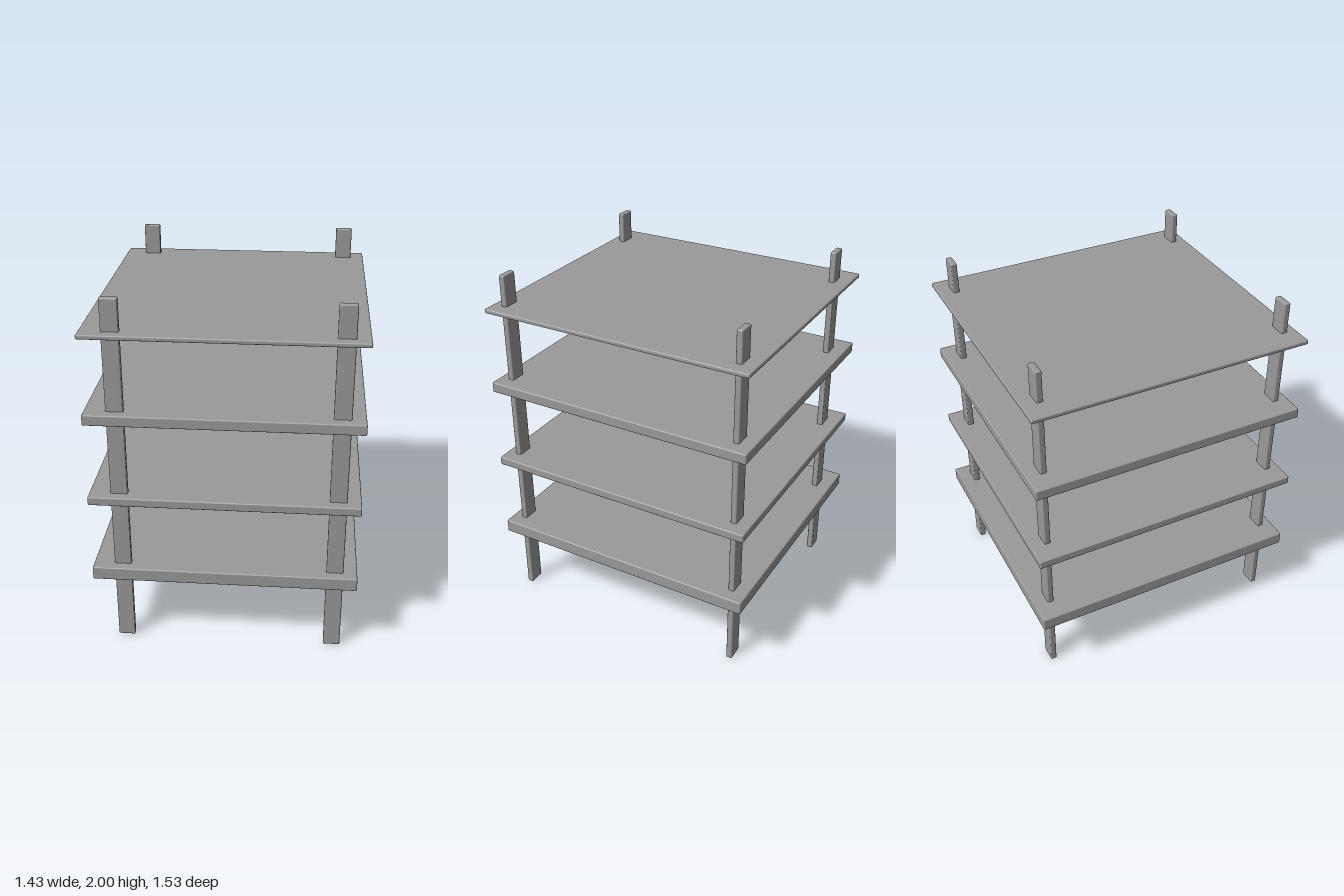
import * as THREE from 'three';
import { RoundedBoxGeometry } from 'three/addons/geometries/RoundedBoxGeometry.js';

export function createModel() {
  const model = new THREE.Group();
  model.name = 'shelfUnit';
  const material = new THREE.MeshStandardMaterial({ color: 0x9a9a9a });

  // Board with slightly eased edges
  function addBoard(name, width, height, depth, x, y, z) {
    const geometry = new RoundedBoxGeometry(width, height, depth, 2, 0.007);
    const mesh = new THREE.Mesh(geometry, material);
    mesh.name = name;
    mesh.position.set(x, y, z);
    model.add(mesh);
  }

  // Shelves: bottom and top heights, lowest first
  const shelves = [[0.406, 0.481], [0.873, 0.921], [1.339, 1.398], [1.804, 1.828]];
  shelves.forEach(([bottom, top], i) => {
    addBoard(`shelf${i + 1}`, 1.434, top - bottom, 1.53, 0, (bottom + top) / 2, 0);
  });

  // Flat posts running through all the shelves
  for (const [side, x] of [['Right', -0.558], ['Left', 0.597]]) {
    for (const [end, z] of [['front', 0.694], ['back', -0.673]]) {
      addBoard(`${end}${side}Post`, 0.092, 2, 0.034, x, 1, z);
    }
  }

  return model;
}
